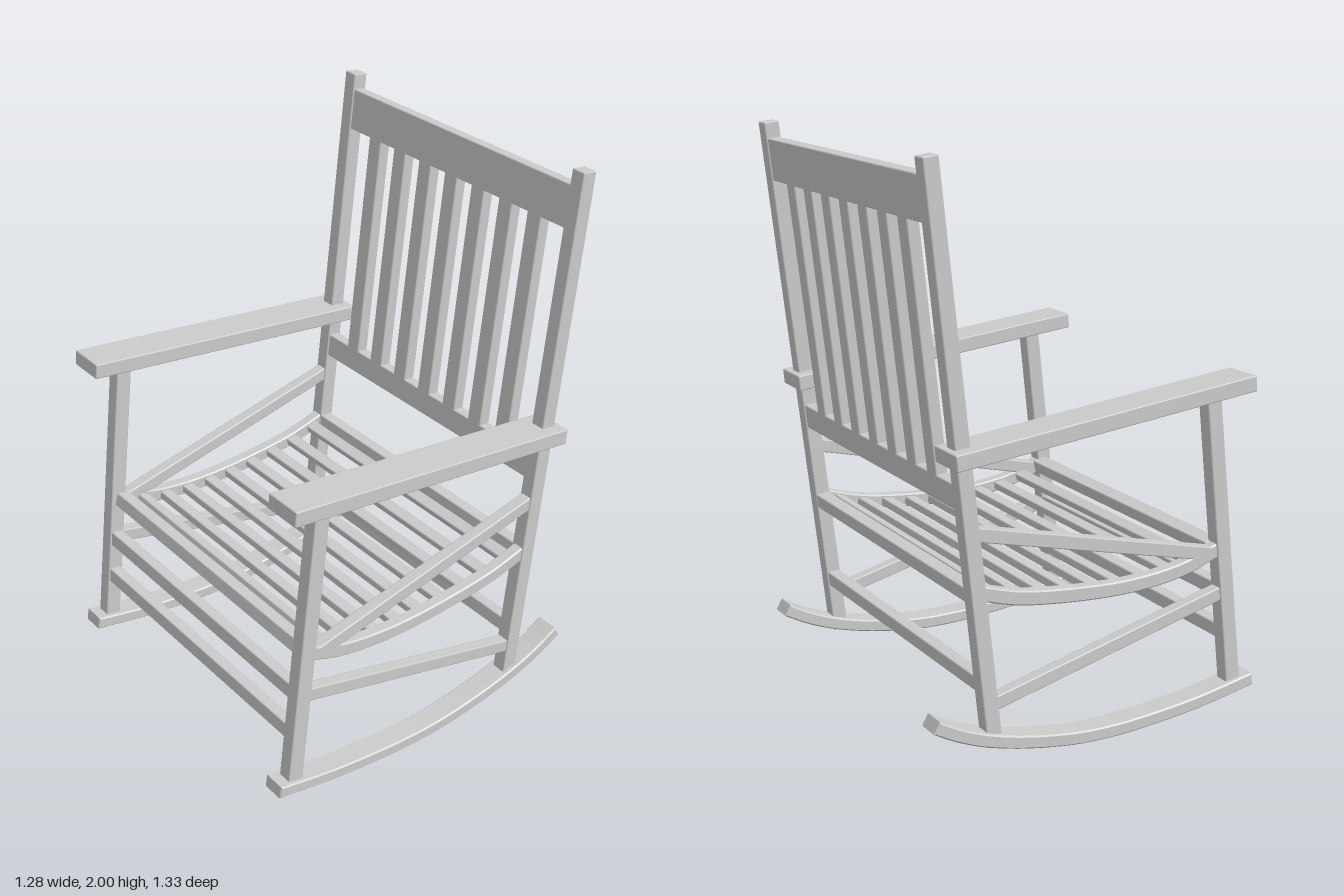
import * as THREE from 'three';
import { RoundedBoxGeometry } from 'three/addons/geometries/RoundedBoxGeometry.js';
import { toCreasedNormals } from 'three/addons/utils/BufferGeometryUtils.js';

const SIDE_Z = 0.59;   // centre plane of each side frame
const SPAN = 1.15;     // length of the cross pieces between the sides

// Centre lines of the raked posts
const backX = (y) => 0.4 + (y - 0.1) * (0.213 / 1.9);
const frontX = (y) => -0.565 + (y - 0.1) * (0.115 / 1.02);
const RAKE = -Math.atan(0.213 / 1.9);

export function createModel() {
  const chair = new THREE.Group();
  chair.name = 'rockingChair';
  const wood = new THREE.MeshStandardMaterial({ color: 0xcccccc });

  const add = (name, geometry, x, y, z, angle = 0) => {
    const mesh = new THREE.Mesh(geometry, wood);
    mesh.name = name;
    mesh.position.set(x, y, z);
    mesh.rotation.z = angle;
    chair.add(mesh);
    return mesh;
  };
  const bar = (sx, sy, sz) => new RoundedBoxGeometry(sx, sy, sz, 1, 0.005);

  // Straight member between two points of a side plane
  const beam = (name, [x0, y0], [x1, y1], thick, width, z) =>
    add(name, bar(Math.hypot(x1 - x0, y1 - y0), thick, width),
      (x0 + x1) / 2, (y0 + y1) / 2, z, Math.atan2(y1 - y0, x1 - x0));

  // Curved member of constant thickness following a smooth side profile
  const makeCurve = (pts) => new THREE.SplineCurve(pts.map(([x, y]) => new THREE.Vector2(x, y)));
  const bentBeam = (name, curve, thick, width, z) => {
    const upper = [], lower = [];
    const n = 32;
    for (let i = 0; i <= n; i++) {
      const p = curve.getPoint(i / n), t = curve.getTangent(i / n);
      const off = new THREE.Vector2(-t.y, t.x).multiplyScalar(thick / 2);
      upper.unshift(p.clone().add(off));
      lower.push(p.clone().sub(off));
    }
    const b = 0.005;
    const geometry = new THREE.ExtrudeGeometry(new THREE.Shape([...lower, ...upper]), {
      depth: width - 2 * b, bevelEnabled: true, bevelSize: b, bevelOffset: -b,
      bevelThickness: b, bevelSegments: 1,
    });
    geometry.translate(0, 0, b - width / 2);
    add(name, toCreasedNormals(geometry, 0.5), 0, 0, z);
  };

  const rockerCurve = makeCurve([[-0.64, 0.085], [-0.41, 0.047], [-0.2, 0.028], [-0.05, 0.023],
    [0.1, 0.031], [0.275, 0.06], [0.42, 0.098], [0.53, 0.141], [0.62, 0.19]]);
  const seatCurve = makeCurve([[-0.5, 0.59], [-0.35, 0.542], [-0.17, 0.522], [0.03, 0.527],
    [0.28, 0.557], [0.45, 0.605]]);

  // Side frames
  for (const z of [SIDE_Z, -SIDE_Z]) {
    bentBeam('rocker', rockerCurve, 0.045, 0.09, z);
    beam('backPost', [backX(0.07), 0.07], [backX(1.997), 1.997], 0.056, 0.055, z);
    beam('frontPost', [frontX(0.06), 0.06], [frontX(1.15), 1.15], 0.058, 0.055, z);
    beam('armrest', [-0.59, 1.172], [0.558, 1.06], 0.056, 0.145, z);
    bentBeam('seatSideRail', seatCurve, 0.05, 0.045, z);
    beam('diagonalBrace', [-0.47, 0.573], [0.465, 0.804], 0.048, 0.045, z);
    beam('sideStretcher', [-0.52, 0.427], [0.4, 0.213], 0.048, 0.045, z);
  }

  // Seat slats laid along the dipped side rails
  for (let i = 0; i < 9; i++) {
    const x = -0.4 + i * 0.0985;
    let best = 0;
    for (let u = 0; u <= 1; u += 0.005) {
      if (Math.abs(seatCurve.getPoint(u).x - x) < Math.abs(seatCurve.getPoint(best).x - x)) best = u;
    }
    const p = seatCurve.getPoint(best), t = seatCurve.getTangent(best);
    add('seatSlat', bar(0.045, 0.03, SPAN), p.x, p.y, 0, Math.atan2(t.y, t.x));
  }
  add('seatFrontRail', bar(0.055, 0.05, SPAN), -0.492, 0.588, 0, -0.25);
  add('seatBackRail', bar(0.05, 0.052, SPAN), backX(0.594), 0.594, 0, RAKE);

  // Cross stretchers between the posts
  add('frontUpperStretcher', bar(0.045, 0.055, SPAN), frontX(0.428), 0.428, 0, RAKE);
  add('frontLowerStretcher', bar(0.045, 0.055, SPAN), frontX(0.27), 0.27, 0, RAKE);
  add('backStretcher', bar(0.045, 0.055, SPAN), backX(0.28), 0.28, 0, RAKE);

  // Backrest: two rails and seven upright slats
  add('backLowerRail', bar(0.045, 0.088, SPAN), backX(0.925), 0.925, 0, RAKE);
  add('backTopRail', bar(0.045, 0.15, SPAN), backX(1.867), 1.867, 0, RAKE);
  for (let i = -3; i <= 3; i++) {
    beam('backSlat', [backX(0.95), 0.95], [backX(1.81), 1.81], 0.044, 0.065, i * 0.14);
  }
  return chair;
}
